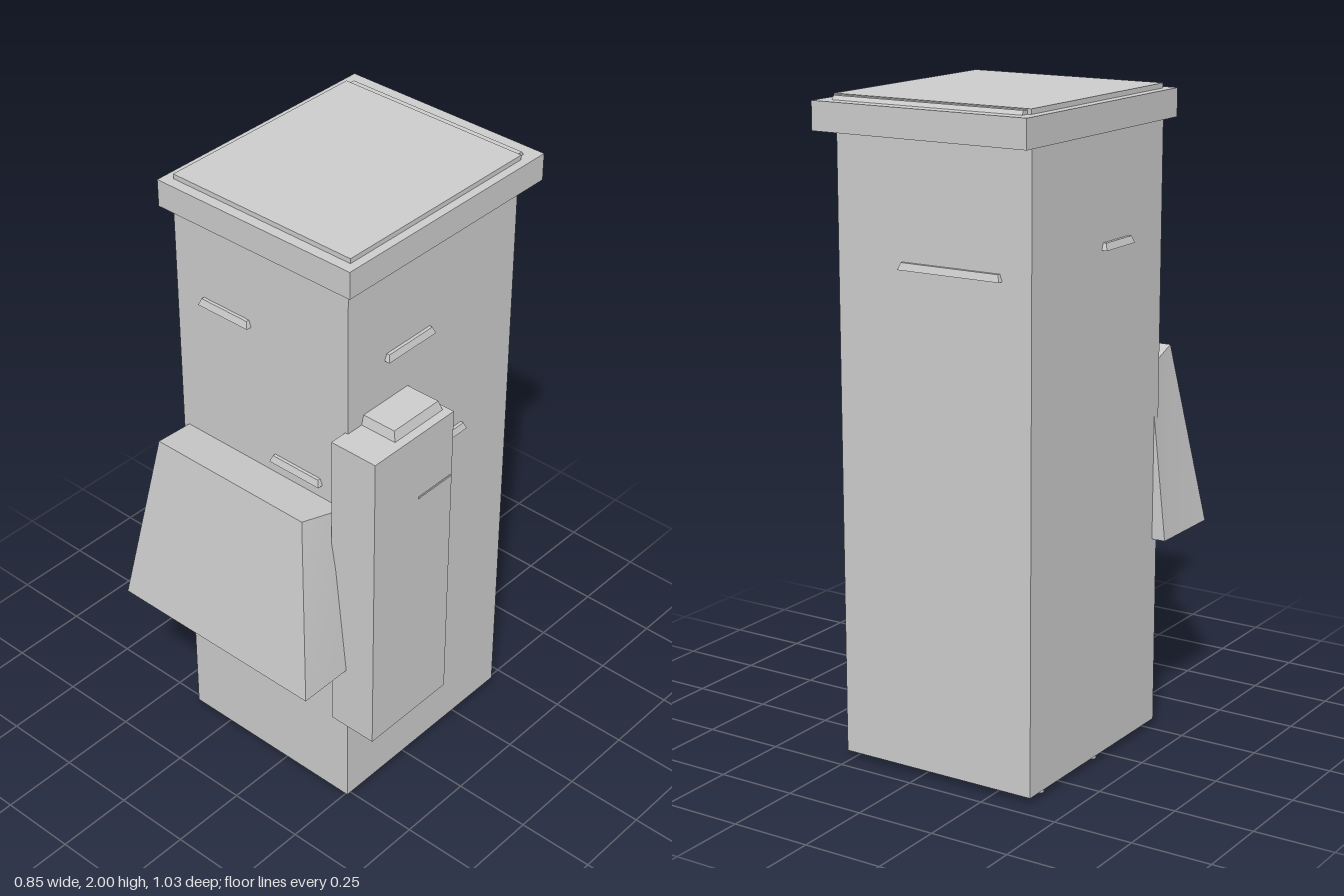
import * as THREE from 'three';

export function createModel() {
  const model = new THREE.Group();
  const grey = new THREE.MeshStandardMaterial({ color: 0xcccccc });
  grey.name = 'plain grey';

  function add(name, geometry) {
    const mesh = new THREE.Mesh(geometry, grey);
    mesh.name = name;
    model.add(mesh);
    return mesh;
  }

  // Box given by its limits on each axis
  function block(name, [x0, x1], [y0, y1], [z0, z1]) {
    const g = new THREE.BoxGeometry(x1 - x0, y1 - y0, z1 - z0);
    g.translate((x0 + x1) / 2, (y0 + y1) / 2, (z0 + z1) / 2);
    return add(name, g);
  }

  // Unit box whose corners are moved by a rule (right, top, front) => [x, y, z]
  function shapedBox(name, rule) {
    const g = new THREE.BoxGeometry(1, 1, 1);
    const p = g.attributes.position;
    for (let i = 0; i < p.count; i++) {
      p.setXYZ(i, ...rule(p.getX(i) > 0, p.getY(i) > 0, p.getZ(i) > 0));
    }
    g.computeVertexNormals();
    return add(name, g);
  }

  // Cabinet and lid
  block('body', [-0.38, 0.27], [0.02, 1.9], [-0.44, 0.28]);
  block('cap', [-0.41, 0.3], [1.9, 1.985], [-0.515, 0.308]);
  block('topPlate', [-0.38, 0.273], [1.985, 2], [-0.445, 0.275]);
  shapedBox('hingeStrip', (r, t, f) => [
    r ? 0.26 : -0.368, t ? 1.997 : 1.985, f ? -0.44 : t ? -0.464 : -0.472]);

  // Tapered hood hung on the front
  shapedBox('frontHood', (r, t, f) => {
    const half = t ? (f ? 0.283 : 0.31) : 0.37;
    return [-0.054 + (r ? half : -half),
      t ? (f ? 1.185 : 1.15) : 0.615,
      f ? (t ? 0.428 : 0.515) : 0.255];
  });

  // Side box with its small raised cover
  block('sideBox', [0.26, 0.42], [0.39, 1.43], [0.003, 0.338]);
  shapedBox('sideBoxCover', (r, t, f) => [
    r ? (t ? 0.382 : 0.392) : 0.265,
    t ? 1.46 : 1.43,
    f ? (t ? 0.215 : 0.223) : (t ? 0.027 : 0.019)]);
  block('sideBoxSlit', [0.415, 0.422], [1.205, 1.211], [0.01, 0.15]);

  // Small sloped lips: centre along the wall, bottom height, length, wall turn
  function lip(name, x, y, z, length, turn) {
    const mesh = shapedBox(name, (r, t, f) => [
      (r ? 1 : -1) * (length / 2 - (t ? 0.008 : 0)),
      t ? 0.021 : 0,
      f ? (t ? 0.01 : 0.017) : -0.01]);
    mesh.position.set(x, y, z);
    mesh.rotation.y = turn;
  }
  lip('frontUpperLip', -0.187, 1.622, 0.28, 0.19, 0);
  lip('frontLowerLip', 0.078, 1.199, 0.28, 0.19, 0);
  lip('leftUpperLip', 0.27, 1.596, 0.028, 0.2, Math.PI / 2);
  lip('leftLowerLip', 0.27, 1.176, -0.12, 0.22, Math.PI / 2);
  lip('backLip', -0.115, 1.521, -0.44, 0.34, Math.PI);
  lip('rightLip', -0.38, 1.559, 0.013, 0.16, -Math.PI / 2);

  // Feet
  for (const x of [-0.355, 0.245]) {
    for (const z of [-0.345, -0.048]) {
      const g = new THREE.CylinderGeometry(0.011, 0.011, 0.025, 12);
      add('foot', g.translate(x, 0.0125, z));
    }
  }
  return model;
}
